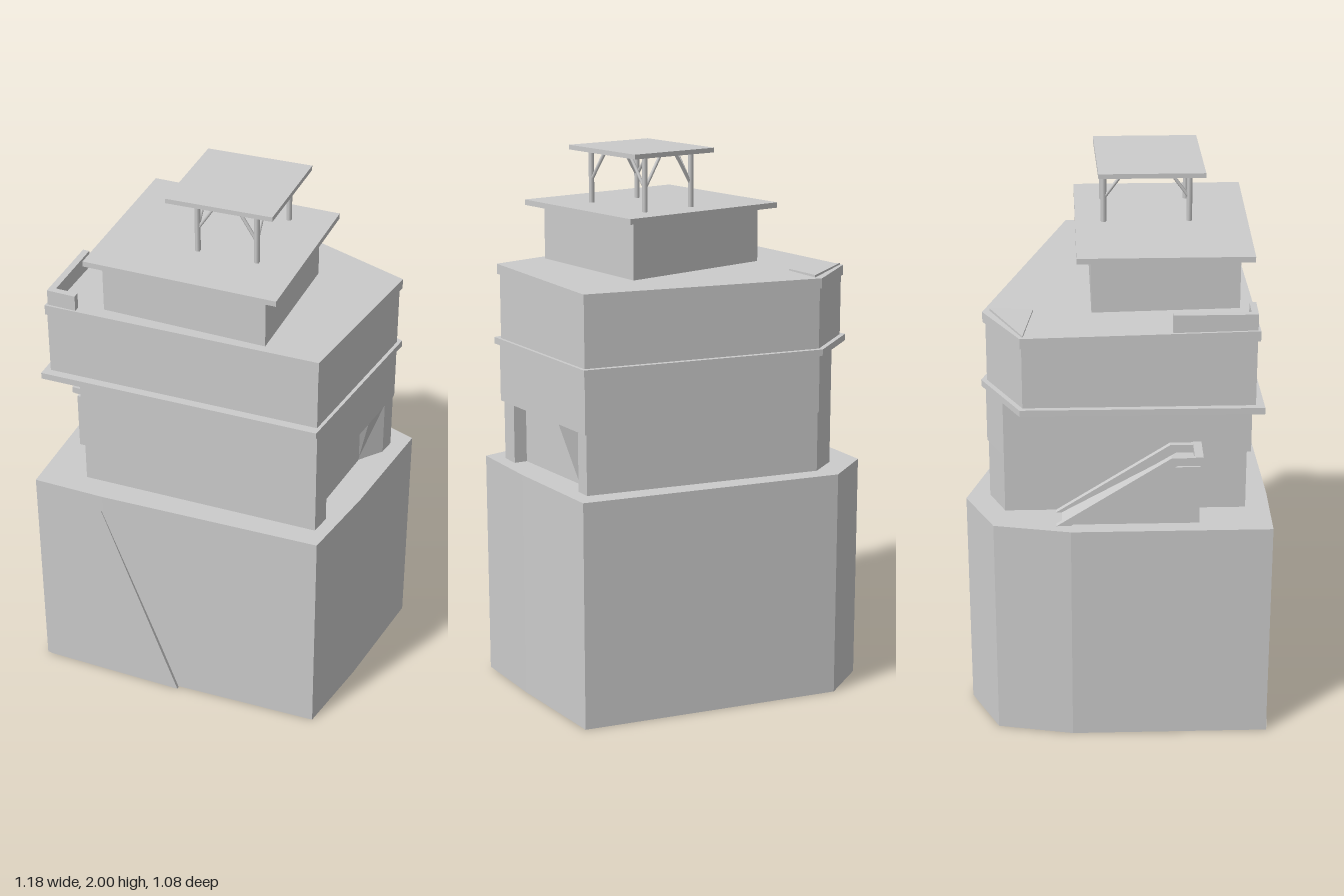
import * as THREE from 'three';

const material = new THREE.MeshStandardMaterial({ color: 0xcccccc, side: THREE.DoubleSide });

export function createModel() {
  const model = new THREE.Group();

  const add = (name, geometry) => {
    const mesh = new THREE.Mesh(geometry, material);
    mesh.name = name;
    model.add(mesh);
    return mesh;
  };

  // Upright prism over a plan outline of [x, z] points; tilt(x, z) shifts its height
  const prism = (name, plan, y0, y1, tilt) => {
    const shape = new THREE.Shape(plan.map(([x, z]) => new THREE.Vector2(x, -z)));
    const g = new THREE.ExtrudeGeometry(shape, { depth: y1 - y0, bevelEnabled: false });
    g.rotateX(-Math.PI / 2).translate(0, y0, 0);
    if (tilt) {
      const p = g.attributes.position;
      for (let i = 0; i < p.count; i++) p.setY(i, p.getY(i) + tilt(p.getX(i), p.getZ(i)));
      g.computeVertexNormals();
    }
    return add(name, g);
  };

  const box = (name, x0, x1, y0, y1, z0, z1) => {
    const g = new THREE.BoxGeometry(x1 - x0, y1 - y0, z1 - z0);
    return add(name, g.translate((x0 + x1) / 2, (y0 + y1) / 2, (z0 + z1) / 2));
  };

  // Side profile of [z, y] points, extruded from x0 to x1
  const sideProfile = (name, points, x0, x1) => {
    const shape = new THREE.Shape(points.map(([z, y]) => new THREE.Vector2(-z, y)));
    const g = new THREE.ExtrudeGeometry(shape, { depth: x1 - x0, bevelEnabled: false });
    return add(name, g.rotateY(Math.PI / 2).translate(x0, 0, 0));
  };

  // Square beam between two points
  const beam = (name, a, b, r) => {
    const from = new THREE.Vector3(...a), to = new THREE.Vector3(...b);
    const dir = to.clone().sub(from);
    const mesh = add(name, new THREE.CylinderGeometry(r, r, dir.length(), 6));
    mesh.position.copy(from).add(to).multiplyScalar(0.5);
    mesh.quaternion.setFromUnitVectors(new THREE.Vector3(0, 1, 0), dir.normalize());
  };

  // Tall base with a wedge-shaped facet on its front
  prism('base', [[-0.595, 0.535], [-0.33, 0.535], [0.48, 0.5], [0.535, 0.2], [0.59, -0.22],
    [-0.335, -0.54], [-0.54, -0.44], [-0.595, -0.17]], 0, 0.84);
  const facet = new THREE.Shape([[-0.58, 0], [-0.05, 0], [-0.335, 0.775]].map(p => new THREE.Vector2(...p)));
  add('frontFacet', new THREE.ExtrudeGeometry(facet, { depth: 0.012, bevelEnabled: false }).translate(0, 0, 0.526));

  // Ground storey with a recess in its left wall
  prism('groundStorey', [[-0.43, 0.45], [0.445, 0.425], [0.458, 0.35], [0.41, 0.34], [0.45, -0.02],
    [0.515, -0.1], [0.525, -0.16], [-0.31, -0.455], [-0.43, -0.4]], 0.84, 1.06);
  add('recessPanel', new THREE.BufferGeometry().setFromPoints([[0.5, 1.06, 0.03], [0.45, 0.85, -0.02],
    [0.52, 1.06, -0.13]].map(p => new THREE.Vector3(...p)))).geometry.computeVertexNormals();

  // Middle storey, set back on the right like the ground storey
  prism('middleStorey', [[-0.43, 0.465], [0.45, 0.44], [0.53, -0.16], [-0.31, -0.46], [-0.43, -0.4]], 1.06, 1.275);

  // Upper storey between two projecting bands
  prism('lowerLedge', [[-0.565, 0.495], [0.455, 0.465], [0.545, -0.175], [-0.31, -0.475], [-0.56, -0.34]], 1.272, 1.296);
  prism('upperStorey', [[-0.542, 0.465], [0.447, 0.435], [0.53, -0.16], [-0.31, -0.455], [-0.542, -0.33]], 1.29, 1.54);
  prism('roofBand', [[-0.545, 0.475], [0.452, 0.445], [0.538, -0.168], [-0.31, -0.465], [-0.547, -0.335]],
    1.535, 1.572, (x, z) => -0.018 * (0.46 - z) / 0.9);
  prism('roofPatch', [[-0.54, -0.325], [-0.315, -0.29], [-0.3, -0.44]], 1.553, 1.563);

  // Corner parapet on the roof
  box('parapetSide', -0.537, -0.513, 1.55, 1.63, 0.18, 0.465);
  box('parapetFront', -0.537, -0.432, 1.56, 1.63, 0.443, 0.466);

  // Outer stair along the right wall: sloped body, two stringers, capped landing
  sideProfile('stair', [[-0.2, 0.84], [0.28, 0.84], [0.28, 1.06], [0.19, 1.06]], -0.54, -0.43);
  for (const x of [-0.55, -0.45]) {
    sideProfile('stairRail', [[-0.22, 0.84], [-0.17, 0.84], [0.2, 1.07], [0.28, 1.07], [0.28, 1.1], [0.18, 1.1]], x, x + 0.02);
  }
  box('landingCap', -0.553, -0.43, 1.08, 1.103, 0.26, 0.29);

  // Rooftop cabin with a thin, slightly tilted roof
  box('cabin', -0.345, 0.25, 1.55, 1.765, -0.09, 0.42);
  prism('cabinRoof', [[-0.395, 0.465], [0.305, 0.465], [0.305, -0.14], [-0.395, -0.14]],
    1.765, 1.785, x => 0.015 * (x + 0.045));

  // Open belvedere: four posts, each with two diagonal braces
  for (const [x, dx] of [[-0.06, 0.07], [0.155, -0.07]]) {
    for (const [z, dz] of [[0.26, -0.08], [-0.04, 0.08]]) {
      beam('post', [x, 1.77, z], [x, 1.985, z], 0.01);
      beam('brace', [x, 1.87, z], [x + dx, 1.98, z], 0.006);
      beam('brace', [x, 1.87, z], [x, 1.98, z + dz], 0.006);
    }
  }
  prism('belvedereRoof', [[-0.155, 0.31], [0.225, 0.3], [0.225, -0.07], [-0.155, -0.06]],
    1.979, 1.996, x => 0.02 * (x - 0.04));

  return model;
}
